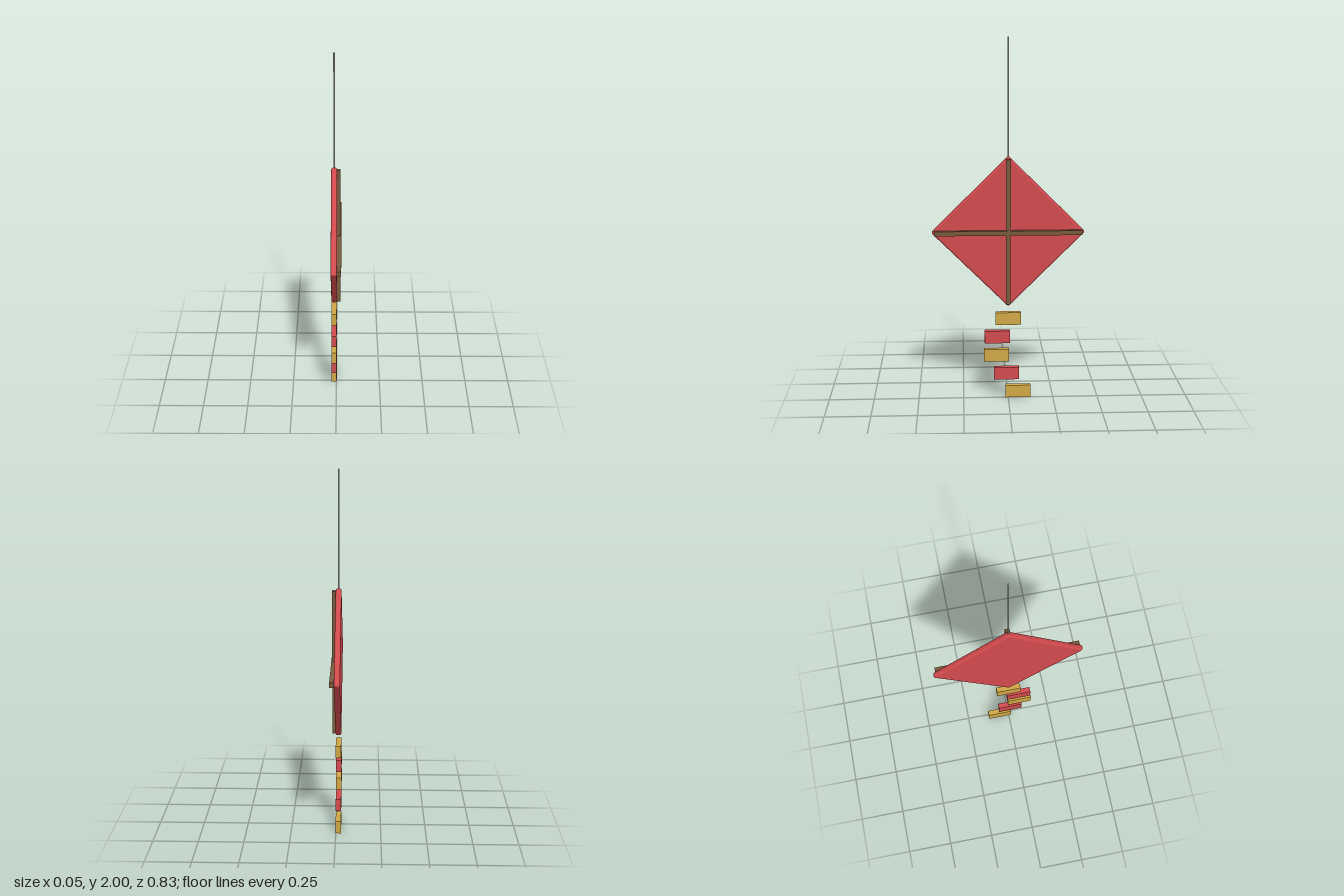
import * as THREE from 'three';
import { RoundedBoxGeometry } from 'three/addons/geometries/RoundedBoxGeometry.js';

export function createModel() {
  const kite = new THREE.Group();
  kite.name = 'kite';

  const material = (name, color) => {
    const m = new THREE.MeshStandardMaterial({ color });
    m.name = name;
    return m;
  };
  const red = material('red cloth', 0xd24a4d);
  const gold = material('gold cloth', 0xd0a746);
  const wood = material('brown wood', 0x785a3c);
  const cord = material('pale cord', 0xd0d0cc);

  const add = (name, geometry, mat, x, y, z) => {
    const mesh = new THREE.Mesh(geometry, mat);
    mesh.name = name;
    mesh.position.set(x, y, z);
    kite.add(mesh);
    return mesh;
  };

  const midX = -0.012;
  const midY = 0.95;

  // Square sail standing on one corner
  const sail = add('sail', new RoundedBoxGeometry(0.032, 0.594, 0.594, 3, 0.012), red, midX, midY, 0);
  sail.rotation.x = Math.PI / 4;

  // Crossed spars on the left face
  add('uprightSpar', new THREE.BoxGeometry(0.022, 0.806, 0.025), wood, 0.011, midY, 0);
  add('crossSpar', new THREE.BoxGeometry(0.027, 0.025, 0.806), wood, 0.0135, midY, 0);

  // Flying line rising from the top corner
  const lineBottom = 1.35;
  add('flyingLine', new THREE.CylinderGeometry(0.004, 0.004, 2 - lineBottom, 8), cord,
    midX, (2 + lineBottom) / 2, 0);

  // Swaying tail of alternating bows
  const bow = new THREE.BoxGeometry(0.03, 0.07, 0.14);
  for (let i = 0; i < 5; i++) {
    add('tailBow' + (i + 1), bow, i % 2 ? red : gold, midX - 0.001, 0.46 - i * 0.10625, 0.072 * Math.sin(i));
  }

  return kite;
}
